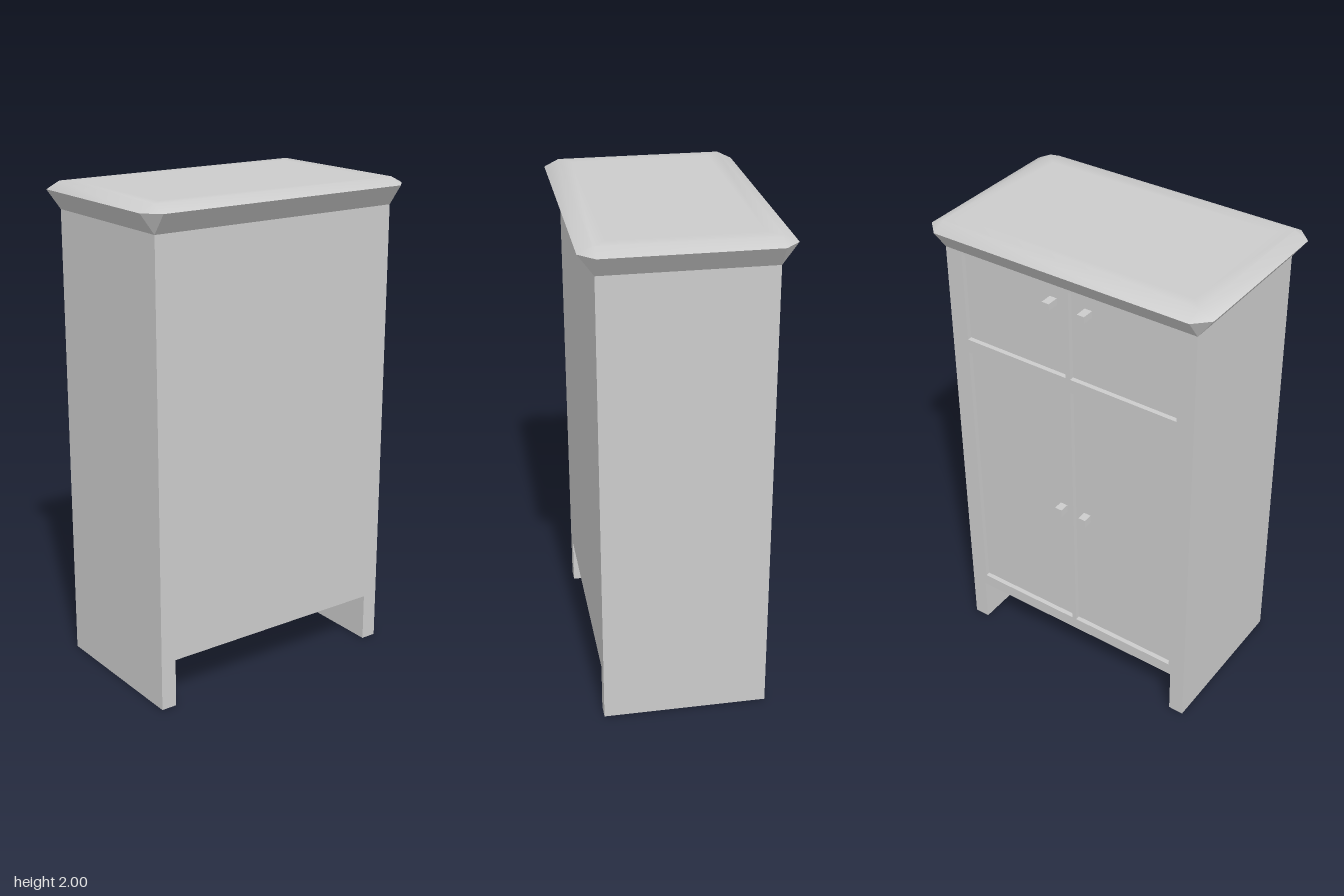
import * as THREE from 'three';
import { toCreasedNormals } from 'three/addons/utils/BufferGeometryUtils.js';

const material = new THREE.MeshStandardMaterial({ color: 0xcccccc });
const W = 0.555, D = 0.333, INNER = 0.49; // half width, half depth, inside of side panels
const BASE = 0.2, TOP = 1.89, RECESS = 0.02;

// Box given by its two opposite corners
function addBox(parent, name, [x0, y0, z0], [x1, y1, z1]) {
  const mesh = new THREE.Mesh(new THREE.BoxGeometry(x1 - x0, y1 - y0, z1 - z0), material);
  mesh.position.set((x0 + x1) / 2, (y0 + y1) / 2, (z0 + z1) / 2);
  mesh.name = name;
  parent.add(mesh);
}

// Eight-point ring: pushed out it has cut corners, pulled in it is a plain rectangle
function ring([y, out]) {
  const x = W + Math.min(out, 0), z = D + Math.min(out, 0), X = W + out, Z = D + out;
  return [[X, z], [x, Z], [-x, Z], [-X, z], [-X, -z], [-x, -Z], [x, -Z], [X, -z]]
    .map(([px, pz]) => new THREE.Vector3(px, y, pz));
}

// Worktop: flares out from the body, then slopes in softly to a flat top
function worktopGeometry() {
  const rings = [[TOP, 0], [1.972, 0.06], [2, 0.003], [2, -0.05]].map(ring);
  const bottom = rings[0], top = rings[rings.length - 1];
  const pos = [];
  const tri = (a, b, c) => {
    if (a.equals(b) || b.equals(c) || c.equals(a)) return;
    for (const p of [a, b, c]) pos.push(p.x, p.y, p.z);
  };
  for (let r = 0; r < rings.length - 1; r++) {
    for (let i = 0; i < 8; i++) {
      const j = (i + 1) % 8, lo = rings[r], hi = rings[r + 1];
      tri(lo[i], hi[i], hi[j]);
      tri(lo[i], hi[j], lo[j]);
    }
  }
  // Caps
  for (let i = 1; i < 7; i++) {
    tri(top[0], top[i + 1], top[i]);
    tri(bottom[0], bottom[i], bottom[i + 1]);
  }
  const g = new THREE.BufferGeometry();
  g.setAttribute('position', new THREE.Float32BufferAttribute(pos, 3));
  return toCreasedNormals(g, THREE.MathUtils.degToRad(35));
}

export function createModel() {
  const cabinet = new THREE.Group();
  cabinet.name = 'cabinet';

  // Carcass: the side panels run down to the floor as feet
  addBox(cabinet, 'leftSidePanel', [INNER, 0, -D], [W, TOP, D]);
  addBox(cabinet, 'rightSidePanel', [-W, 0, -D], [-INNER, TOP, D]);
  addBox(cabinet, 'carcass', [-INNER, BASE, -D + RECESS], [INNER, TOP, D]);

  // Frame round the recessed doors and drawers
  const rails = [['bottomRail', BASE, 0.253], ['middleRail', 1.44, 1.5], ['topRail', 1.88, TOP]];
  for (const [name, y0, y1] of rails) {
    addBox(cabinet, name, [-INNER, y0, -D], [INNER, y1, -D + RECESS]);
  }
  const openings = [['door', 0.253, 1.44], ['drawer', 1.5, 1.88]];
  for (const [name, y0, y1] of openings) {
    addBox(cabinet, name + 'Divider', [-0.01, y0, -D], [0.01, y1, -D + RECESS]);
    addBox(cabinet, name + 'LeftStile', [0.481, y0, -D], [INNER, y1, -D + RECESS]);
    addBox(cabinet, name + 'RightStile', [-INNER, y0, -D], [-0.481, y1, -D + RECESS]);
  }

  // Square knobs, one per door and drawer: spacing, height, half height, reach
  const knobs = [['drawerKnob', 0.078, 1.809, 0.014, 0.363], ['doorKnob', 0.058, 0.836, 0.018, 0.353]];
  for (const [name, offset, y, h, reach] of knobs) {
    for (const side of [-1, 1]) {
      const x = side * offset - 0.007;
      addBox(cabinet, name, [x - 0.016, y - h, -reach], [x + 0.016, y + h, -D + RECESS]);
    }
  }

  const worktop = new THREE.Mesh(worktopGeometry(), material);
  worktop.name = 'worktop';
  cabinet.add(worktop);
  return cabinet;
}
